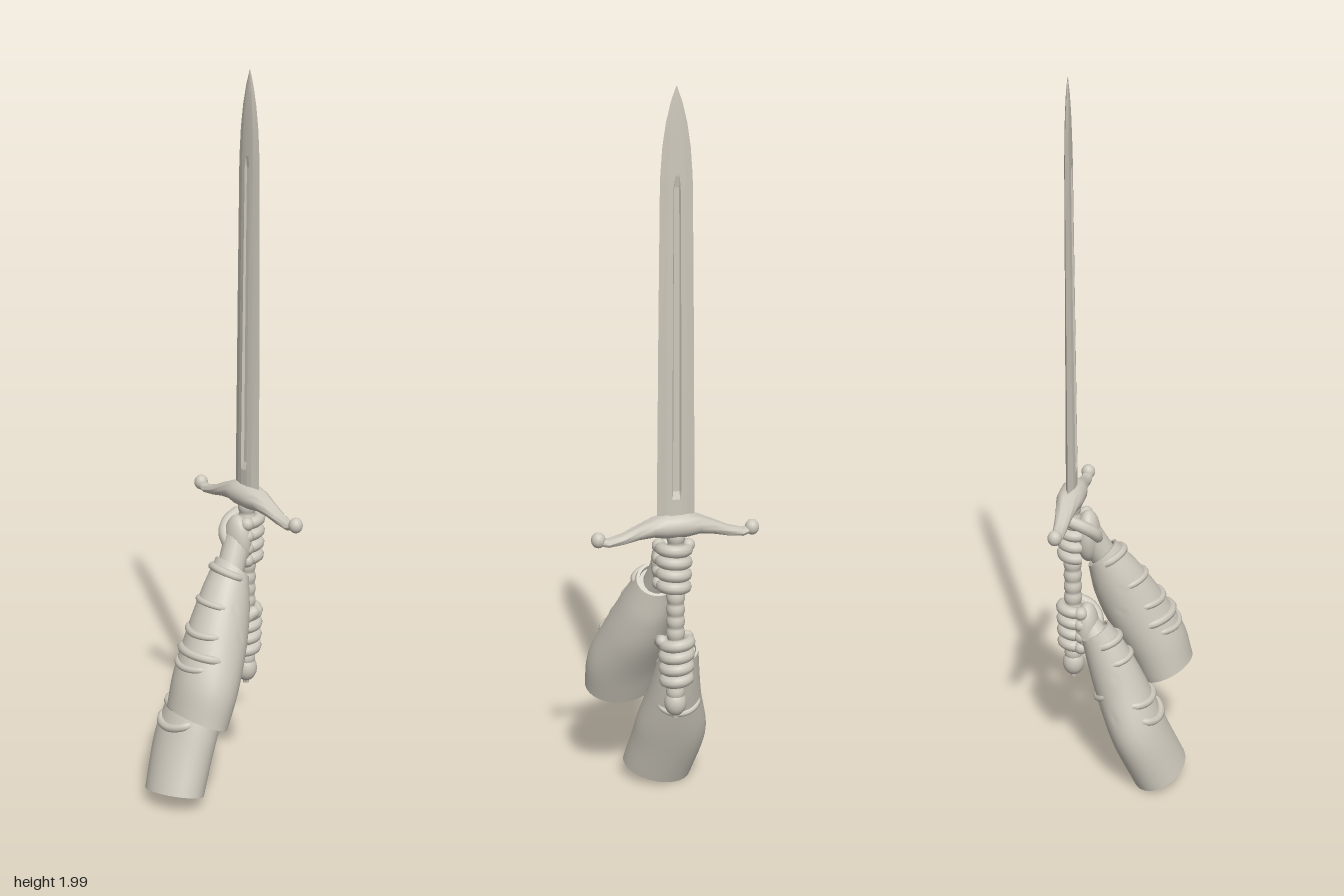
import * as THREE from 'three';
import { toCreasedNormals } from 'three/addons/utils/BufferGeometryUtils.js';

const stone = new THREE.MeshStandardMaterial({ color: 0xcdc8bc });
stone.name = 'warm grey stone';
const V = (x, y, z) => new THREE.Vector3(x, y, z);
const SWORD_Z = -0.135;

function add(parent, name, geometry, x = 0, y = 0, z = 0) {
  const mesh = new THREE.Mesh(geometry, stone);
  mesh.name = name;
  mesh.position.set(x, y, z);
  parent.add(mesh);
  return mesh;
}

// Skin a row of equal-length rings and close both ends
function loft(rings, crease) {
  const n = rings[0].length;
  const points = rings.flat();
  const index = [];
  for (let i = 0; i < rings.length - 1; i++) {
    for (let j = 0; j < n; j++) {
      const a = i * n + j, b = i * n + (j + 1) % n;
      index.push(a, b, a + n, b, b + n, a + n);
    }
  }
  [[0, true], [rings.length - 1, false]].forEach(([r, first]) => {
    const c = points.length;
    points.push(rings[r].reduce((s, p) => s.add(p), V(0, 0, 0)).divideScalar(n));
    for (let j = 0; j < n; j++) {
      const a = r * n + j, b = r * n + (j + 1) % n;
      index.push(...(first ? [c, b, a] : [c, a, b]));
    }
  });
  // Turn the faces outward when the enclosed volume is negative
  let volume = 0;
  for (let i = 0; i < index.length; i += 3) {
    const [a, b, c] = [0, 1, 2].map(k => points[index[i + k]]);
    volume += a.dot(V(0, 0, 0).crossVectors(b, c));
  }
  if (volume < 0) index.reverse();
  const g = new THREE.BufferGeometry().setFromPoints(points);
  g.setIndex(index);
  return toCreasedNormals(g, crease);
}

// Blade with a hollow fuller down each face
function makeBlade() {
  // y, half width, half thickness, fuller half width, fuller floor
  const rows = [
    [0.86, 0.05, 0.013, 0.012, 0.013], [0.93, 0.05, 0.013, 0.012, 0.013],
    [0.95, 0.05, 0.013, 0.012, 0.005], [1.4, 0.046, 0.010, 0.011, 0.004],
    [1.75, 0.042, 0.008, 0.009, 0.003], [1.78, 0.041, 0.008, 0.006, 0.008],
    [1.85, 0.036, 0.007, 0.004, 0.007], [1.91, 0.027, 0.006, 0.003, 0.006],
    [1.96, 0.015, 0.004, 0.002, 0.004], [2.0, 0.001, 0.001, 0.0005, 0.001]];
  return loft(rows.map(([y, w, t, f, d]) => [
    [w, 0], [w * 0.55, t * 0.75], [f, t], [f * 0.7, d], [-f * 0.7, d], [-f, t], [-w * 0.55, t * 0.75],
    [-w, 0], [-w * 0.55, -t * 0.75], [-f, -t], [-f * 0.7, -d], [f * 0.7, -d], [f, -t], [w * 0.55, -t * 0.75],
  ].map(([x, z]) => V(x, y, z))), 0.15);
}

// Drooping cross guard, mirrored about the centre
function makeGuard() {
  const half = [[0, 0.855, 0.034, 0.036], [0.03, 0.855, 0.033, 0.036], [0.06, 0.854, 0.027, 0.03],
    [0.1, 0.843, 0.02, 0.023], [0.14, 0.829, 0.015, 0.019], [0.18, 0.821, 0.012, 0.016], [0.207, 0.828, 0.011, 0.014]];
  const rows = [...half.slice(1).reverse().map(([x, ...r]) => [-x, ...r]), ...half];
  return loft(rows.map(([x, y, ry, rz]) => Array.from({ length: 20 }, (_, j) => {
    const a = j / 20 * Math.PI * 2;
    return V(x, y + ry * Math.cos(a), rz * Math.sin(a));
  })), 0.9);
}

// Grip with a corded wrap
function makeGrip() {
  const profile = [];
  for (let i = 0; i <= 112; i++) {
    const t = i / 112;
    profile.push(new THREE.Vector2(0.021 + 0.004 * Math.abs(Math.sin(t * Math.PI * 14)), 0.36 + 0.48 * t));
  }
  return new THREE.LatheGeometry(profile, 20);
}

// Sleeve rows: centre x, y, z, half width, half depth, roll, tilt
function sleeveSurface(rows) {
  const curve = k => new THREE.CatmullRomCurve3(rows.map(k));
  const centre = curve(r => V(r[0], r[1], r[2]));
  const radii = curve(r => V(r[3], r[4], 0));
  const angles = curve(r => V(r[5], r[6], 0));
  return (t, a, grow = 1) => {
    const c = centre.getPoint(t), r = radii.getPoint(t), q = angles.getPoint(t);
    const u = V(Math.cos(q.x), Math.sin(q.x), 0).multiplyScalar(r.x * Math.cos(a) * grow);
    const v = V(0, Math.sin(q.y), Math.cos(q.y)).multiplyScalar(r.y * Math.sin(a) * grow);
    return c.add(u).add(v);
  };
}

function makeSleeve(name, rows, folds) {
  const group = new THREE.Group();
  group.name = name;
  const at = sleeveSurface(rows);
  const ring = (t, grow) => Array.from({ length: 32 }, (_, j) => at(t, j / 32 * Math.PI * 2, grow));
  const rings = [ring(0.03, 0.8), ring(0, 0.85), ring(0, 1)];
  for (let i = 1; i <= 20; i++) rings.push(ring(i / 20, 1));
  rings.push(ring(1, 0.92), ring(0.985, 0.88));
  add(group, name + 'Cloth', loft(rings, 0.7));
  // Creases that sink into the cloth at both ends
  folds.forEach(([t, a0, a1, r, sag]) => {
    const path = [];
    for (let i = 0; i <= 10; i++) {
      const s = i / 10, bulge = Math.sin(s * Math.PI);
      path.push(at(t + sag * bulge, a0 + (a1 - a0) * s, 0.88 + 0.12 * Math.sqrt(bulge)));
    }
    add(group, 'sleeveFold', new THREE.TubeGeometry(new THREE.CatmullRomCurve3(path), 24, r, 8));
  });
  return group;
}

// Fist around the grip; side is the direction the wrist leans
function makeHand(name, y, side, wristEnd) {
  const group = new THREE.Group();
  group.name = name;
  const arc = 4.5;
  for (let i = 0; i < 4; i++) {
    const finger = new THREE.TorusGeometry(0.034 - 0.001 * i, 0.0165, 10, 28, arc);
    finger.rotateZ(-Math.PI / 2 - arc / 2).rotateX(Math.PI / 2);
    const mesh = add(group, 'finger', finger, 0.004 * side, y + 0.052 - i * 0.035, SWORD_Z + 0.004);
    mesh.rotation.set(0.12, 0, 0.08 * side);
    add(group, 'knuckle', new THREE.SphereGeometry(0.019, 14, 10), 0.038 * side, y + 0.054 - i * 0.035, SWORD_Z + 0.03);
  }
  // Palm, thumb and wrist
  const palm = add(group, 'palm', new THREE.SphereGeometry(1, 24, 18), 0.012 * side, y, SWORD_Z + 0.042);
  palm.scale.set(0.045, 0.075, 0.033);
  const thumb = new THREE.CatmullRomCurve3([
    V(0.02 * side, y - 0.02, -0.07), V(-0.015 * side, y + 0.02, -0.07),
    V(-0.033 * side, y + 0.045, -0.095), V(-0.036 * side, y + 0.06, -0.13)]);
  add(group, 'thumb', new THREE.TubeGeometry(thumb, 20, 0.017, 10));
  const tip = thumb.getPoint(1);
  add(group, 'thumbTip', new THREE.SphereGeometry(0.017, 14, 10), tip.x, tip.y, tip.z);
  const wrist = new THREE.CatmullRomCurve3([V(0.012 * side, y + 0.01, SWORD_Z + 0.04), wristEnd]);
  add(group, 'wrist', new THREE.TubeGeometry(wrist, 8, 0.037, 16));
  return group;
}

export function createModel() {
  const model = new THREE.Group();
  model.name = 'swordHeldInTwoHands';

  const sword = new THREE.Group();
  sword.name = 'sword';
  sword.position.z = SWORD_Z;
  model.add(sword);
  add(sword, 'blade', makeBlade());
  add(sword, 'crossGuard', makeGuard());
  for (const s of [-1, 1]) {
    const end = add(sword, 'guardFinial', new THREE.SphereGeometry(0.019, 18, 14), s * 0.206, 0.831, 0);
    end.scale.y = 1.1;
  }
  const collar = add(sword, 'guardBlock', new THREE.SphereGeometry(1, 24, 16), 0, 0.855, 0);
  collar.scale.set(0.066, 0.034, 0.036);
  add(sword, 'grip', makeGrip());
  add(sword, 'pommel', new THREE.SphereGeometry(0.03, 24, 18), 0, 0.345, 0).scale.y = 1.25;
  add(sword, 'pommelButton', new THREE.CylinderGeometry(0.01, 0.008, 0.014, 12), 0, 0.308, 0);

  model.add(makeHand('upperHand', 0.735, 1, V(0.035, 0.65, -0.045)));
  model.add(makeHand('lowerHand', 0.465, -1, V(-0.033, 0.41, -0.04)));

  // Folds: place along the arm, start and end angle, thickness, sag
  model.add(makeSleeve('upperSleeve', [
    [0.033, 0.675, -0.06, 0.055, 0.05, 0.0, 0.75],
    [0.05, 0.6, -0.026, 0.07, 0.072, 0.0, 0.6],
    [0.07, 0.51, 0.018, 0.085, 0.084, 0.0, 0.5],
    [0.095, 0.39, 0.08, 0.1, 0.084, 0.0, 0.43],
    [0.1, 0.305, 0.11, 0.097, 0.077, -0.03, 0.43]],
  [[0.06, 0.2, 2.9, 0.011, 0.03], [0.32, 0.7, 2.6, 0.009, 0.02], [0.5, 0.7, 2.5, 0.01, 0.03],
    [0.6, 0.5, 2.7, 0.012, 0.02], [0.66, 0.9, 2.5, 0.009, 0.03]]));
  model.add(makeSleeve('lowerSleeve', [
    [-0.035, 0.47, -0.065, 0.045, 0.045, 0.0, 0.6],
    [-0.032, 0.4, -0.035, 0.058, 0.06, 0.0, 0.5],
    [-0.03, 0.31, 0.0, 0.074, 0.071, 0.0, 0.42],
    [-0.03, 0.17, 0.055, 0.101, 0.076, 0.1, 0.35],
    [-0.005, 0.036, 0.11, 0.097, 0.075, 0.2, 0.3]],
  [[0.12, 0.3, 2.9, 0.011, 0.03], [0.3, 0.6, 2.7, 0.009, 0.02], [0.58, 0.5, 2.6, 0.011, 0.03],
    [0.66, 0.8, 2.4, 0.012, 0.04], [0.5, 3.6, 5.6, 0.009, 0.02]]));
  return model;
}
